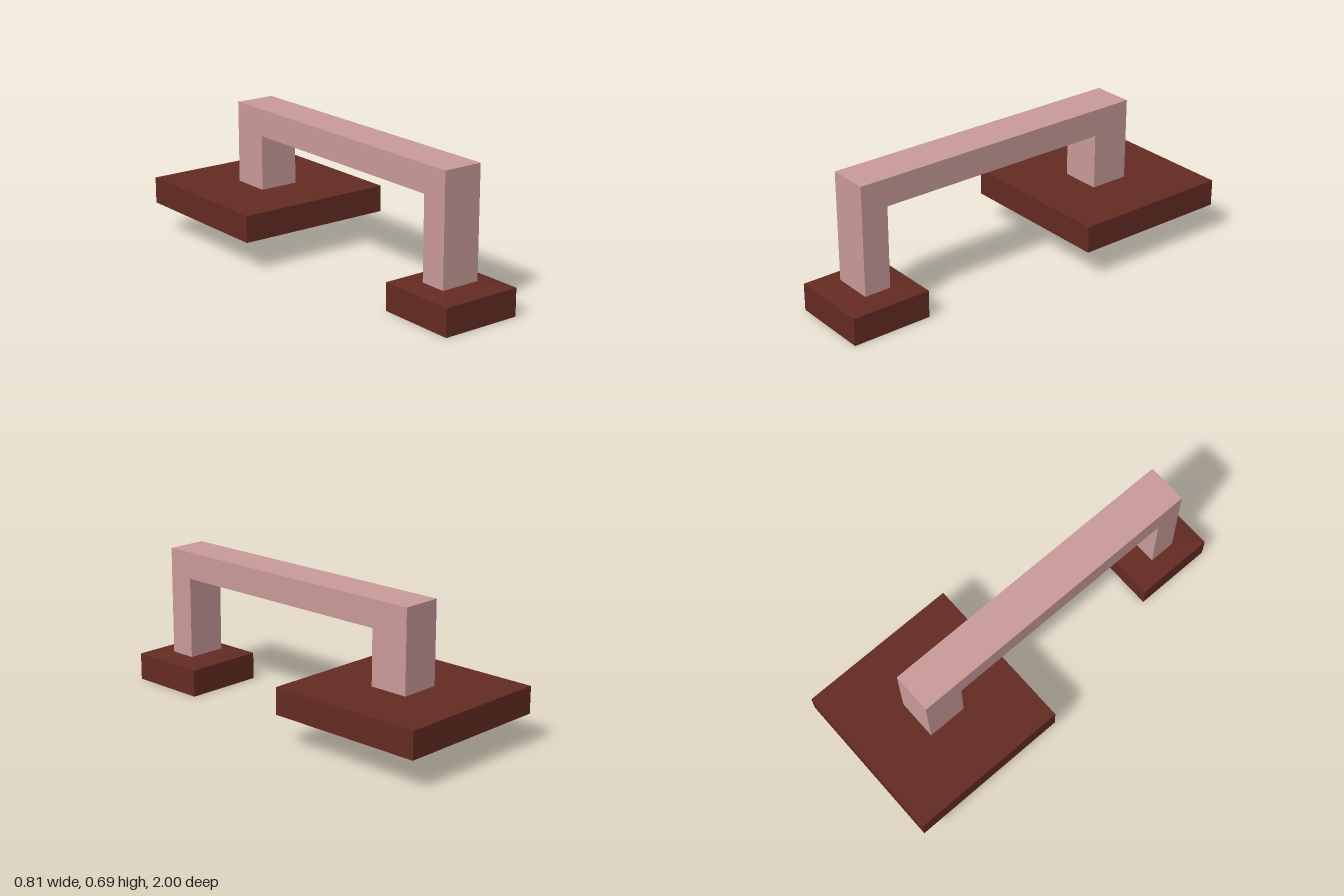
import * as THREE from 'three';

// Joins a series of four-cornered rings into an open, flat-faced shell
function loft(rings) {
  const pos = [];
  for (let r = 0; r < rings.length - 1; r++) {
    for (let i = 0; i < 4; i++) {
      const j = (i + 1) % 4;
      const [a, b, c, d] = [rings[r][i], rings[r][j], rings[r + 1][j], rings[r + 1][i]];
      pos.push(...a, ...b, ...c, ...a, ...c, ...d);
    }
  }
  const geo = new THREE.BufferGeometry();
  geo.setAttribute('position', new THREE.Float32BufferAttribute(pos, 3));
  geo.computeVertexNormals();
  return geo;
}

// Ring across the model, from an outer edge (z, y) to an inner edge (z, y)
const ring = (x0, x1, [zo, yo], [zi, yi]) => [[x0, yo, zo], [x1, yo, zo], [x1, yi, zi], [x0, yi, zi]];

export function createModel() {
  const group = new THREE.Group();
  const pink = new THREE.MeshStandardMaterial({ color: 0xc99b99, side: THREE.DoubleSide });
  pink.name = 'dustyPink';
  const brown = new THREE.MeshStandardMaterial({ color: 0x642b22, side: THREE.DoubleSide });
  brown.name = 'darkBrown';

  const add = (name, rings, material) => {
    const mesh = new THREE.Mesh(loft(rings), material);
    mesh.name = name;
    group.add(mesh);
  };

  const X = 0.101; // half width of the arch
  const flat = (x0, x1, z0, z1, y) => ring(x0, x1, [z0, y], [z1, y]);

  // Hollow square arch: front leg, beam, rear leg, open at both feet
  add('arch', [
    flat(-X, X, 0.865, 0.73, 0.152),
    ring(-X, X, [0.865, 0.695], [0.73, 0.56]),
    ring(-X, X, [-0.69, 0.695], [-0.49, 0.56]),
    flat(-X, X, -0.69, -0.49, 0.285),
  ], pink);

  // Small front base: open below, top rising gently to the leg opening
  add('frontBase', [
    flat(-0.198, 0.209, 1, 0.595, 0),
    flat(-0.198, 0.209, 1, 0.595, 0.136),
    flat(-X, X, 0.865, 0.73, 0.152),
  ], brown);

  // Large raised rear base: open below, flat top with the leg opening
  add('rearBase', [
    flat(-0.407, 0.407, -0.186, -1, 0.152),
    flat(-0.407, 0.407, -0.186, -1, 0.285),
    flat(-X, X, -0.49, -0.69, 0.285),
  ], brown);

  return group;
}
